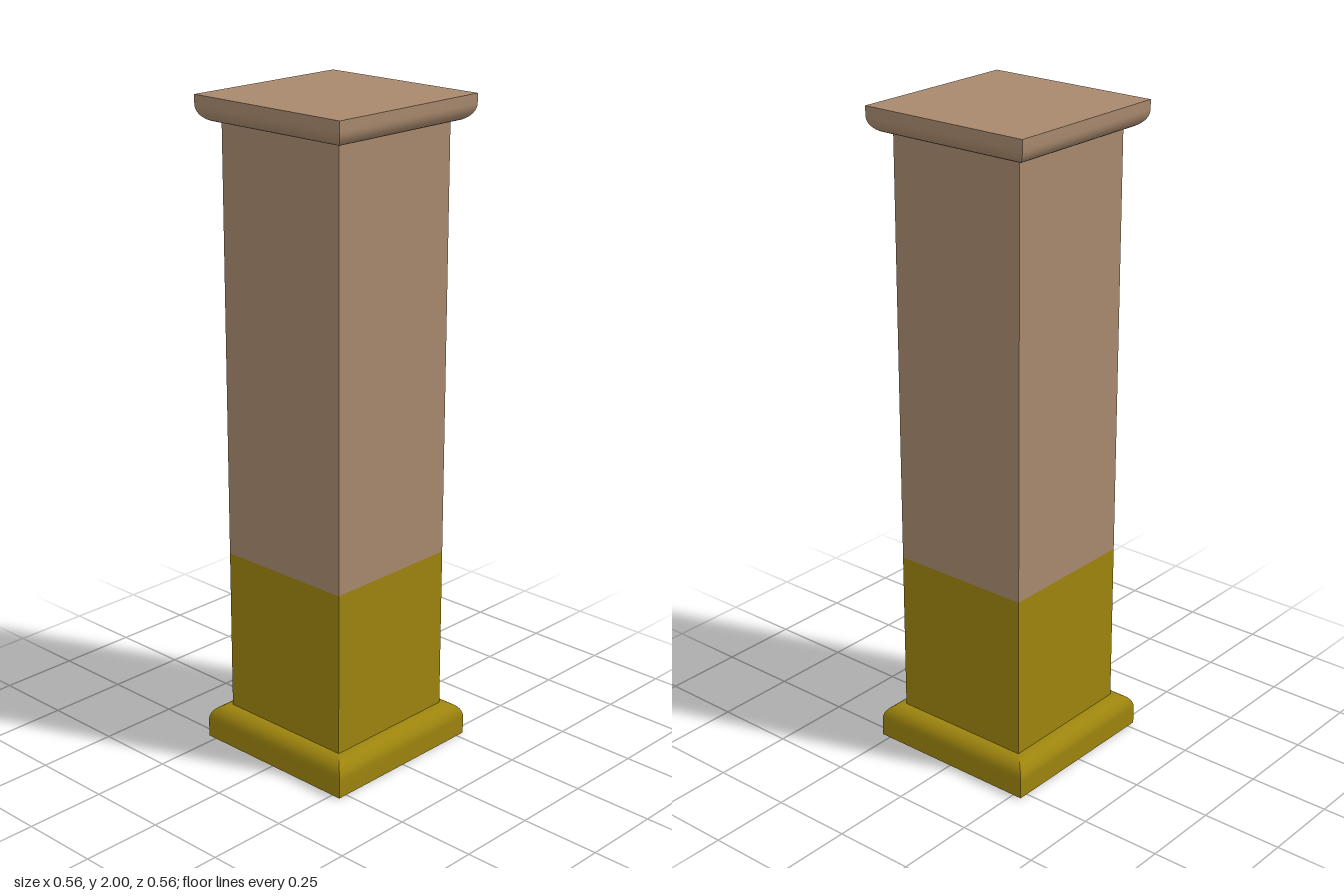
import * as THREE from 'three';

const HALF = 0.279;   // half width of base and cap
const SHAFT = 0.226;  // half width of shaft
const R = 0.05;       // moulding radius

// Square ring swept from a profile of [halfWidth, y], bottom to top, with mitred corners
function squareSweep(profile) {
  const pos = [], idx = [];
  const v = new THREE.Vector3(), up = new THREE.Vector3(0, 1, 0);
  for (let side = 0; side < 4; side++) {
    const start = pos.length / 3;
    for (const [h, y] of profile) {
      for (const s of [-1, 1]) {
        v.set(s * h, y, h).applyAxisAngle(up, side * Math.PI / 2);
        pos.push(v.x, v.y, v.z);
      }
    }
    for (let i = 0; i < profile.length - 1; i++) {
      const a = start + i * 2;
      idx.push(a, a + 1, a + 3, a, a + 3, a + 2);
    }
  }
  const g = new THREE.BufferGeometry();
  g.setAttribute('position', new THREE.Float32BufferAttribute(pos, 3));
  g.setIndex(idx);
  g.computeVertexNormals();
  return g;
}

// Quarter round from the vertical face in towards the shaft; dir is 1 up or -1 down
function quarterRound(y, dir) {
  const pts = [];
  for (let i = 0; i <= 8; i++) {
    const a = i / 8 * Math.PI / 2;
    pts.push([HALF - R + R * Math.cos(a), y + dir * R * Math.sin(a)]);
  }
  return pts;
}

export function createModel() {
  const model = new THREE.Group();
  const tan = new THREE.MeshStandardMaterial({ color: 0xa8896d });
  tan.name = 'tan';
  const olive = new THREE.MeshStandardMaterial({ color: 0x9d840e });
  olive.name = 'olive';

  const add = (name, geometry, material) => {
    const mesh = new THREE.Mesh(geometry, material);
    mesh.name = name;
    model.add(mesh);
    return mesh;
  };

  // Base moulding, rounded on its upper edge
  add('base', squareSweep([[HALF, 0], ...quarterRound(0.057, 1), [SHAFT, 0.107]]), olive);

  // Shaft in two colours
  add('lowerShaft', squareSweep([[SHAFT, 0.107], [SHAFT, 0.615]]), olive);
  add('upperShaft', squareSweep([[SHAFT, 0.615], [SHAFT, 1.922]]), tan);

  // Cap moulding, rounded on its lower edge
  add('cap', squareSweep([[SHAFT, 1.922], ...quarterRound(1.972, -1).reverse(), [HALF, 2]]), tan);
  add('capTop', new THREE.PlaneGeometry(HALF * 2, HALF * 2).rotateX(-Math.PI / 2), tan).position.y = 2;

  // Underside, tan with an olive strip along one edge
  const strip = 0.05;
  const underside = (name, x0, x1, material) => {
    const g = new THREE.PlaneGeometry(x1 - x0, HALF * 2).rotateX(Math.PI / 2);
    add(name, g, material).position.x = (x0 + x1) / 2;
  };
  underside('undersideStrip', -HALF, -HALF + strip, olive);
  underside('underside', -HALF + strip, HALF, tan);

  return model;
}
